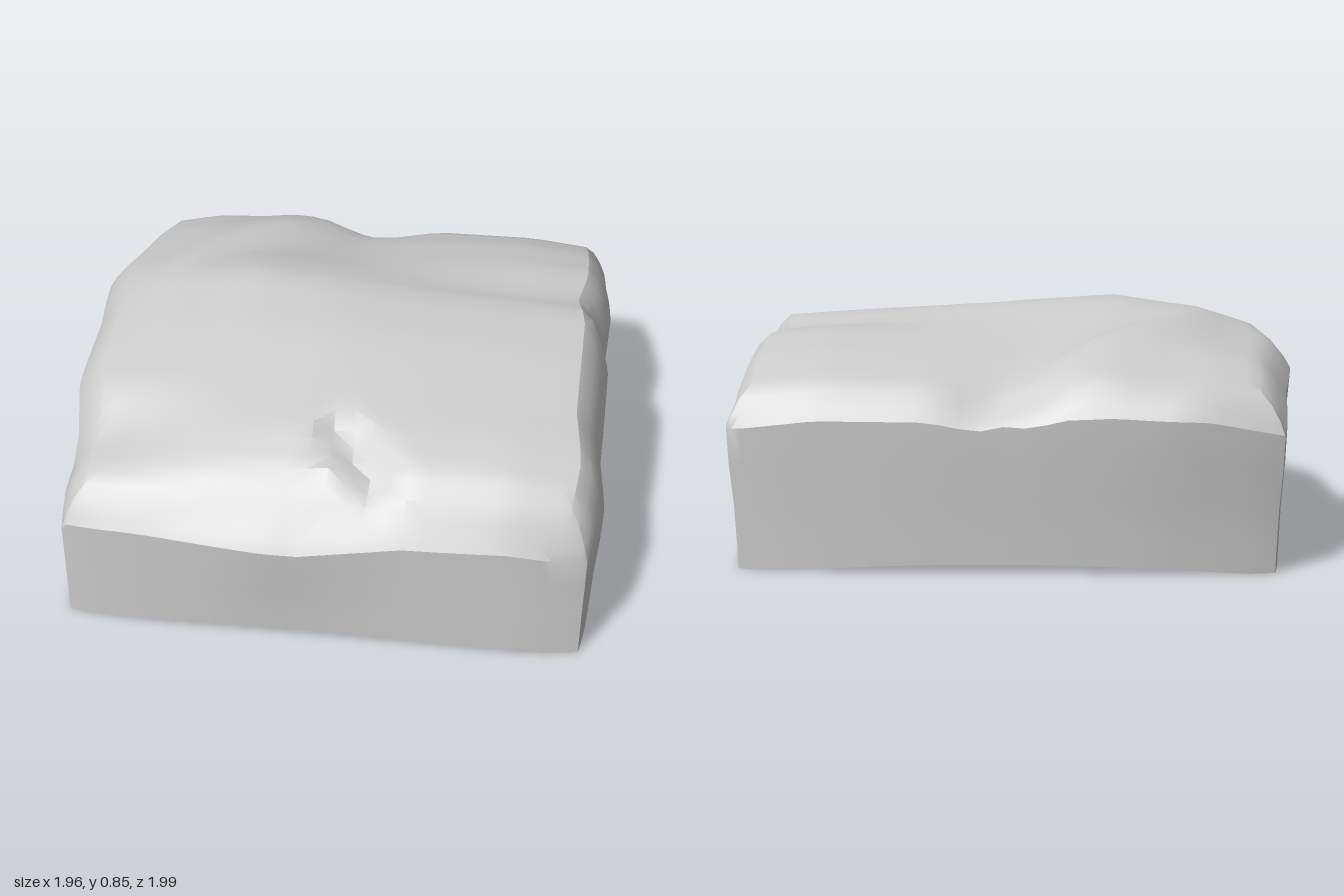
import * as THREE from 'three';
import { toCreasedNormals } from 'three/addons/utils/BufferGeometryUtils.js';

// Heights of the weathered top, one row per depth station, back to front
const ZS = [-0.9, -0.65, -0.4, -0.2, -0.07, 0.2, 0.46, 0.64, 0.8, 0.92];
const XS = [-0.9, -0.65, -0.35, -0.05, 0.3, 0.65, 0.9];
const HEIGHTS = [
  [0.58, 0.63, 0.64, 0.58, 0.62, 0.62, 0.59],
  [0.66, 0.71, 0.72, 0.68, 0.70, 0.71, 0.69],
  [0.70, 0.76, 0.77, 0.75, 0.75, 0.76, 0.74],
  [0.73, 0.80, 0.83, 0.81, 0.77, 0.75, 0.73],
  [0.73, 0.81, 0.85, 0.83, 0.80, 0.78, 0.77],
  [0.70, 0.76, 0.79, 0.80, 0.78, 0.76, 0.74],
  [0.66, 0.69, 0.71, 0.72, 0.72, 0.71, 0.69],
  [0.53, 0.60, 0.65, 0.67, 0.68, 0.68, 0.65],
  [0.52, 0.55, 0.58, 0.59, 0.62, 0.62, 0.58],
  [0.47, 0.48, 0.47, 0.46, 0.51, 0.51, 0.47],
];

// Wavy plan outline: distance out from the centre along each side
const LEFT = [[-1, -0.94], [-0.6, -0.94], [-0.3, -0.985], [0, -0.95], [0.35, -0.95], [0.55, -0.91], [1, -0.92]];
const RIGHT = [[-1, 0.99], [-0.4, 0.98], [-0.22, 0.945], [0, 0.97], [0.5, 0.955], [0.73, 0.985], [1, 0.965]];
const BACK = [[-1, -0.98], [-0.6, -1], [0, -0.955], [0.6, -0.945], [1, -0.95]];
const FRONT = [[-1, 0.97], [-0.6, 0.97], [-0.2, 0.995], [0.3, 0.97], [0.8, 0.96], [1, 0.945]];

// Wall levels: [share of rim height, blend towards the straight-sided base]
const LEVELS = [[0.75, 0.2], [0.45, 0.65], [0.2, 0.85], [0, 1]];

const { lerp, clamp, smoothstep } = THREE.MathUtils;

// Linear lookup along a list of stations
function sample(stations, values, t) {
  let i = 0;
  while (i < stations.length - 2 && t > stations[i + 1]) i++;
  const f = clamp((t - stations[i]) / (stations[i + 1] - stations[i]), 0, 1);
  return lerp(values[i], values[i + 1], f);
}
const along = (pairs, t) => sample(pairs.map((p) => p[0]), pairs.map((p) => p[1]), t);

// Soft groove around the segment a-b: 1 on the line, fading to 0 at the radius
function groove(x, z, [ax, az], [bx, bz], radius) {
  const dx = bx - ax, dz = bz - az;
  const t = clamp(((x - ax) * dx + (z - az) * dz) / (dx * dx + dz * dz), 0, 1);
  return Math.max(0, 1 - Math.hypot(x - ax - t * dx, z - az - t * dz) / radius);
}

const cornerScale = (u, v) => 1 - 0.045 * Math.abs(u * v) ** 4;

function topPoint(u, v) {
  const corner = cornerScale(u, v);
  const x = lerp(along(LEFT, v), along(RIGHT, v), (u + 1) / 2) * corner;
  const z = lerp(along(BACK, u), along(FRONT, u), (v + 1) / 2) * corner;
  let y = sample(ZS, HEIGHTS.map((row) => sample(XS, row, x)), z);
  // raised slab along a diagonal crease at the back left
  const behind = -(x + z + 0.85) / Math.SQRT2;
  y += 0.045 * smoothstep(behind, -0.06, 0.07) * (1 - smoothstep(behind, 0.07, 0.4)) * smoothstep(x, -0.8, -0.45);
  // cracks at front and back
  y -= 0.06 * groove(x, z, [0.06, 0.64], [0.2, 0.82], 0.1);
  y -= 0.05 * groove(x, z, [-0.1, -0.88], [0.08, -0.9], 0.12);
  // rounded shoulder, deepest on the right side
  const edge = Math.max(0, Math.max(Math.abs(u), Math.abs(v)) - 0.88) / 0.12;
  const rightward = smoothstep(u, 0.85, 1) * (1 - smoothstep(Math.abs(v), 0.75, 1));
  y -= (v > Math.abs(u) ? 0.09 : 0.11 + 0.1 * rightward) * edge ** 2;
  return [x, y, z];
}

function rockGeometry() {
  const N = 34, half = N / 2;
  const pos = [], index = [];
  const spread = (i) => {
    const s = (2 * i) / N - 1;
    return Math.sign(s) * (1 - (1 - Math.abs(s)) ** 1.3);
  };
  // Top surface, cell diagonals following the creases
  for (let j = 0; j <= N; j++)
    for (let i = 0; i <= N; i++) pos.push(...topPoint(spread(i), spread(j)));
  const id = (i, j) => j * (N + 1) + i;
  for (let j = 0; j < N; j++)
    for (let i = 0; i < N; i++) {
      const a = id(i, j), b = id(i + 1, j), c = id(i + 1, j + 1), d = id(i, j + 1);
      const flip = i < half ? i + j > 6 : j < half;
      if (flip) index.push(a, d, b, b, d, c);
      else index.push(a, d, c, a, c, b);
    }
  // Rim grid positions, running front, right, back, left
  const rim = [];
  for (let i = 0; i < N; i++) rim.push([i, N]);
  for (let j = N; j > 0; j--) rim.push([N, j]);
  for (let i = N; i > 0; i--) rim.push([i, 0]);
  for (let j = 0; j < N; j++) rim.push([0, j]);
  // Walls draw in to an open, slightly arched base
  let upper = rim.map(([i, j]) => id(i, j));
  for (const [level, blend] of LEVELS) {
    const lower = rim.map(([i, j]) => {
      const u = spread(i), v = spread(j), corner = cornerScale(u, v);
      const [x, y, z] = topPoint(u, v);
      const baseX = lerp(-0.92, 0.96, (u + 1) / 2) * corner;
      const baseZ = lerp(-0.935, 0.97, (v + 1) / 2) * corner;
      const arch = j === 0 || j === N ? 0.03 * Math.max(0, 1 - (x / 0.8) ** 2) : 0;
      pos.push(lerp(x, baseX, blend), arch + (y - arch) * level, lerp(z, baseZ, blend));
      return pos.length / 3 - 1;
    });
    for (let k = 0; k < rim.length; k++) {
      const n = (k + 1) % rim.length;
      index.push(upper[k], lower[k], lower[n], upper[k], lower[n], upper[n]);
    }
    upper = lower;
  }
  const g = new THREE.BufferGeometry();
  g.setAttribute('position', new THREE.Float32BufferAttribute(pos, 3));
  g.setIndex(index);
  return toCreasedNormals(g, 0.45);
}

export function createModel() {
  const group = new THREE.Group();
  group.name = 'rock';
  // Hollow stone shell, open underneath
  const shell = new THREE.Mesh(
    rockGeometry(),
    new THREE.MeshStandardMaterial({ color: 0xcccccc, side: THREE.DoubleSide })
  );
  shell.name = 'stoneShell';
  group.add(shell);
  return group;
}
